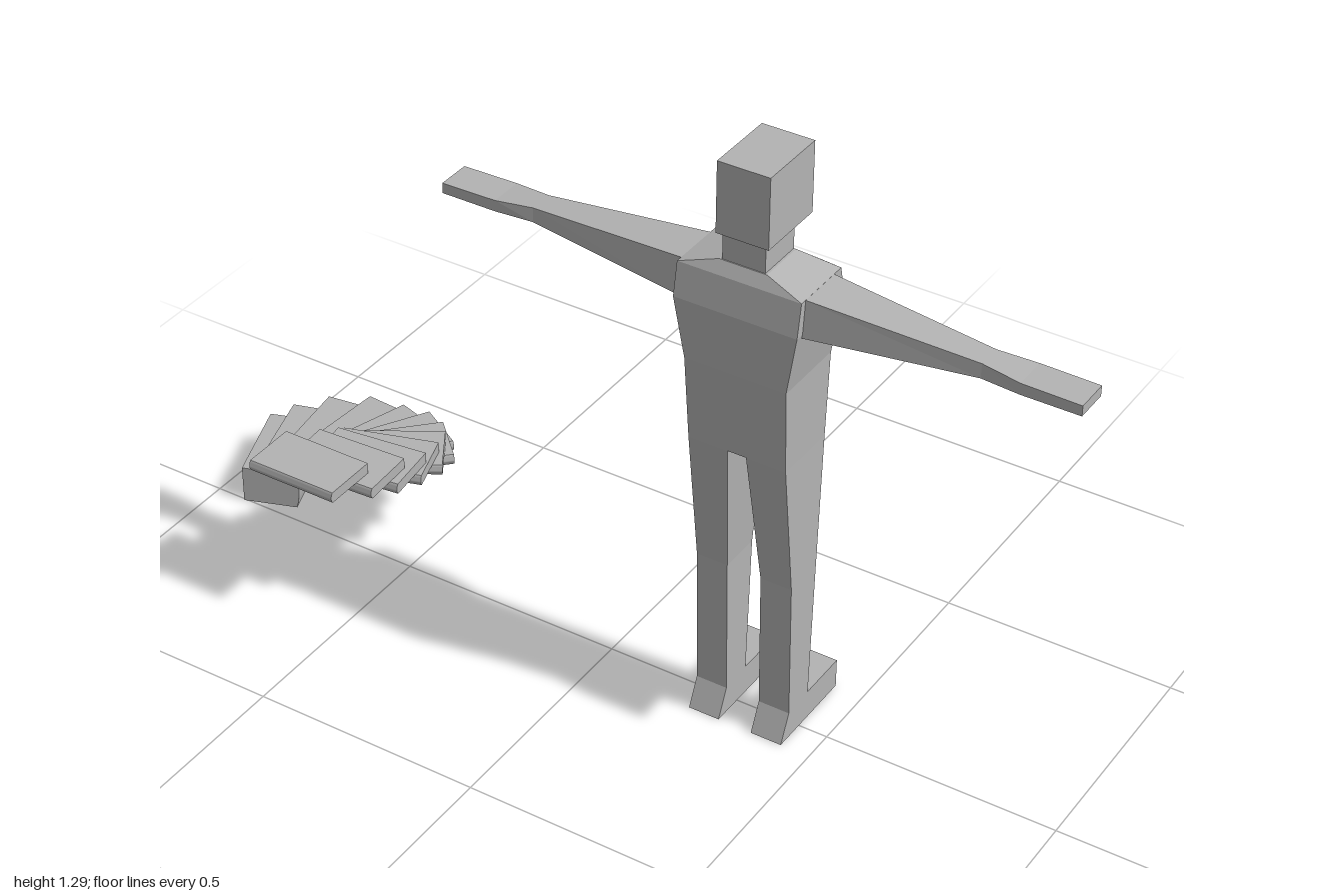
import * as THREE from 'three';
import { toCreasedNormals } from 'three/addons/utils/BufferGeometryUtils.js';

const grey = new THREE.MeshStandardMaterial({ color: 0xb3b3b3 });
grey.name = 'plain grey';

function part(name, geometry, parent) {
  const mesh = new THREE.Mesh(geometry, grey);
  mesh.name = name;
  parent.add(mesh);
  return mesh;
}

// Flat-shaded skin through matching rings, closed at both ends
function loft(rings) {
  const pos = [];
  const tri = (a, b, c) => pos.push(...a, ...b, ...c);
  const n = rings[0].length;
  for (let r = 0; r < rings.length - 1; r++) {
    for (let i = 0; i < n; i++) {
      const j = (i + 1) % n, lo = rings[r], hi = rings[r + 1];
      tri(lo[i], lo[j], hi[j]);
      tri(lo[i], hi[j], hi[i]);
    }
  }
  const first = rings[0], last = rings[rings.length - 1];
  for (let i = 1; i < n - 1; i++) {
    tri(first[0], first[i + 1], first[i]);
    tri(last[0], last[i], last[i + 1]);
  }
  const g = new THREE.BufferGeometry();
  g.setAttribute('position', new THREE.Float32BufferAttribute(pos, 3));
  g.computeVertexNormals();
  return g;
}

// Side profile (z, y) extruded across x, centred
function prism(shape, width) {
  const g = new THREE.ExtrudeGeometry(shape, { depth: width, bevelEnabled: false, curveSegments: 6 });
  g.translate(0, 0, -width / 2).rotateY(-Math.PI / 2);
  return toCreasedNormals(g, 0.6);
}

function box(name, w, h, d, x, y, z, parent) {
  part(name, new THREE.BoxGeometry(w, h, d), parent).position.set(x, y, z);
}

function makeFigure() {
  const figure = new THREE.Group();
  figure.name = 'figure';

  // Torso: height, half width, chest half width, back z, side z, chest z
  const torso = [
    [0.67, 0.105, 0.07, 0.088, -0.055, -0.055],
    [0.855, 0.108, 0.075, 0.102, -0.06, -0.06],
    [0.985, 0.13, 0.08, 0.108, -0.062, -0.095],
    [1.055, 0.13, 0.08, 0.096, -0.045, -0.05],
    [1.08, 0.05, 0.045, 0.082, -0.02, -0.02],
  ].map(([y, w, c, back, side, chest]) => [
    [w, y, back], [w, y, side], [c, y, chest], [-c, y, chest], [-w, y, side], [-w, y, back],
  ]);
  part('torso', loft(torso), figure);
  box('neck', 0.09, 0.07, 0.1, 0, 1.105, 0.03, figure);
  box('head', 0.11, 0.15, 0.154, 0, 1.211, 0.011, figure);

  const foot = new THREE.Shape([
    [0.07, 0], [0.04, 0.065], [-0.145, 0.065], [-0.145, 0],
  ].map(([z, y]) => new THREE.Vector2(z, y)));

  for (const s of [1, -1]) {
    const side = s > 0 ? 'left' : 'right';

    // Arm: distance out, bottom, top, back z, front z, top inset
    const arm = [
      [0.125, 0.977, 1.055, 0.09, -0.028, 0.008],
      [0.47, 1.0, 1.03, 0.057, 0.0, 0.002],
      [0.55, 1.0, 1.024, 0.064, -0.009, 0],
      [0.67, 1.0, 1.022, 0.064, -0.009, 0],
    ].map(([x, y0, y1, back, front, t]) => [
      [s * x, y0, back], [s * x, y0, front], [s * x, y1, front + t], [s * x, y1, back - t],
    ]);
    part(side + 'Arm', loft(s > 0 ? arm : arm.reverse()), figure);

    // Leg: height, inner x, back z, front z
    const leg = [
      [0.06, 0.037, 0.042, -0.03],
      [0.37, 0.037, 0.05, -0.042],
      [0.67, 0.02, 0.088, -0.055],
    ].map(([y, inner, back, front]) => {
      const hi = s > 0 ? 0.105 : -inner, lo = s > 0 ? inner : -0.105;
      return [[hi, y, back], [hi, y, front], [lo, y, front], [lo, y, back]];
    });
    part(side + 'Leg', loft(leg), figure);
    part(side + 'Foot', prism(foot, 0.068), figure).position.x = s * 0.071;
  }
  figure.position.x = 0.332;
  return figure;
}

// Step profile with a slightly rounded leading edge
function stepShape(height) {
  const d = 0.0605, bulge = Math.min(0.012, height * 0.4);
  const shape = new THREE.Shape();
  shape.moveTo(-d, 0);
  shape.lineTo(d - 0.003, 0);
  shape.quadraticCurveTo(d - 0.003 + bulge, height / 2, d - 0.003, height);
  shape.lineTo(-d, height);
  return shape;
}

function makeStairs() {
  const stairs = new THREE.Group();
  stairs.name = 'curvedStairs';
  // Each step: x, z, turn in degrees, from the lowest up
  const steps = [
    [-0.909, -0.112, 110], [-0.87, -0.135, 107], [-0.815, -0.16, 98], [-0.74, -0.167, 86],
    [-0.665, -0.143, 73], [-0.61, -0.12, 60], [-0.572, -0.08, 46], [-0.555, -0.037, 32],
    [-0.547, 0.015, 18], [-0.543, 0.07, 7], [-0.553, 0.13, 3], [-0.587, 0.205, 0],
  ];
  steps.forEach(([x, z, turn], k) => {
    const top = 0.085 + 0.025 * k, height = k ? 0.024 : top;
    const step = part(k ? 'step' + k : 'baseStep', prism(stepShape(height), 0.203), stairs);
    step.position.set(x, top - height, z);
    step.rotation.y = THREE.MathUtils.degToRad(turn);
  });
  return stairs;
}

export function createModel() {
  const model = new THREE.Group();
  model.name = 'figureAndStairs';
  model.add(makeFigure(), makeStairs());
  return model;
}
